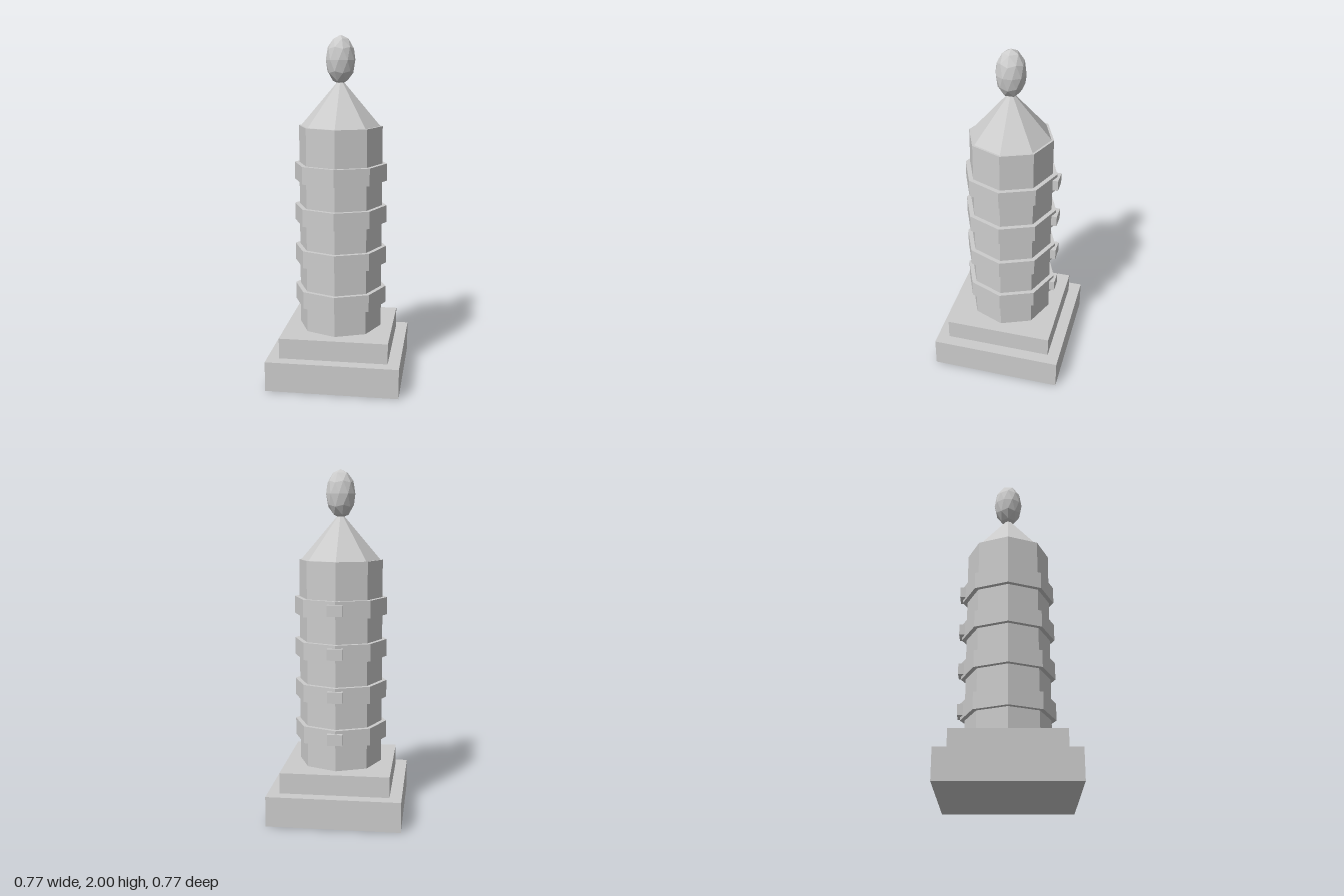
import * as THREE from 'three';

const stone = new THREE.MeshStandardMaterial({ color: 0xcccccc });
stone.name = 'stone';

export function createModel() {
  const group = new THREE.Group();
  group.name = 'tower';

  // Adds a faceted part centred at the given height
  const add = (name, geometry, y, z = 0) => {
    const flat = geometry.index ? geometry.toNonIndexed() : geometry;
    flat.computeVertexNormals();
    const mesh = new THREE.Mesh(flat, stone);
    mesh.name = name;
    mesh.position.set(0, y, z);
    group.add(mesh);
  };
  const octagon = (top, bottom, height) => new THREE.CylinderGeometry(top, bottom, height, 8);

  // Two square plinth steps
  add('lowerPlinth', new THREE.BoxGeometry(0.766, 0.175, 0.766), 0.0875);
  add('upperPlinth', new THREE.BoxGeometry(0.628, 0.12, 0.628), 0.235);

  // Octagonal shaft and pointed roof
  add('shaft', octagon(0.243, 0.243, 1.195), 0.8925);
  add('roof', octagon(0, 0.23, 0.27), 1.625);

  // Bands round the shaft, each with a small block at the back
  for (let i = 0; i < 4; i++) {
    const y = 0.49 + i * 0.245;
    add('band' + (i + 1), octagon(0.27, 0.27, 0.1), y);
    add('backBlock' + (i + 1), new THREE.BoxGeometry(0.088, 0.064, 0.034), y, -0.267);
  }

  // Faceted egg finial, with a corner of the icosahedron turned straight up
  const finial = new THREE.IcosahedronGeometry(1, 1);
  finial.rotateZ(-Math.atan2(1, (1 + Math.sqrt(5)) / 2));
  finial.scale(0.085, 0.138, 0.085);
  add('finial', finial, 1.862);

  return group;
}
